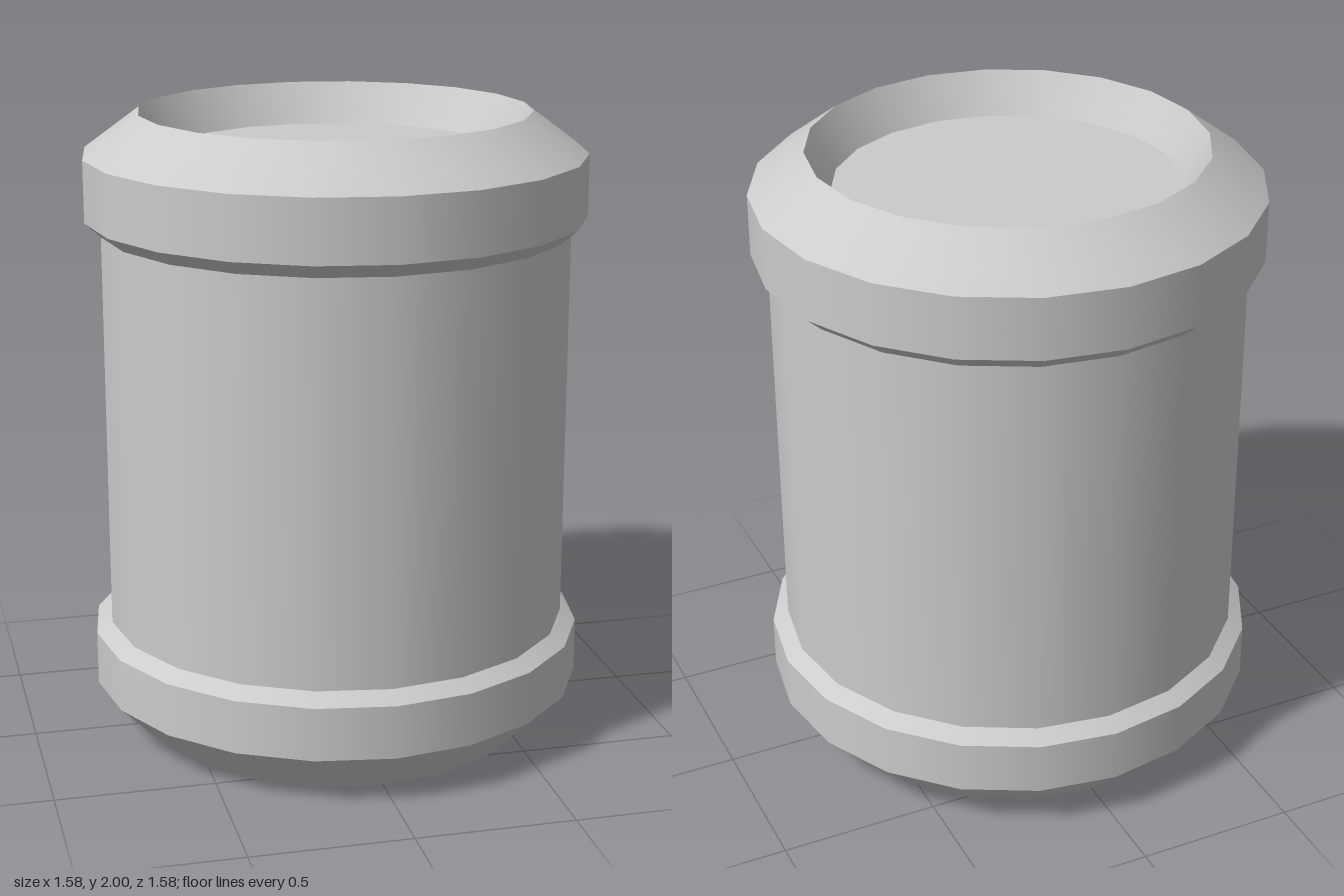
import * as THREE from 'three';
import { mergeGeometries } from 'three/addons/utils/BufferGeometryUtils.js';

const SIDES = 20;

// Turns a profile, keeping each band smooth around but sharp where bands meet
function turned(name, profile, material) {
  const bands = [];
  for (let i = 0; i < profile.length - 1; i++) {
    const pair = [profile[i], profile[i + 1]].map(([r, y]) => new THREE.Vector2(r, y));
    bands.push(new THREE.LatheGeometry(pair, SIDES));
  }
  const mesh = new THREE.Mesh(mergeGeometries(bands), material);
  mesh.name = name;
  return mesh;
}

export function createModel() {
  const group = new THREE.Group();
  group.name = 'canister';
  const grey = new THREE.MeshStandardMaterial({ color: 0xcccccc });

  // Flat underside, sloped foot and lower collar
  group.add(turned('base', [[0, 0], [0.63, 0], [0.79, 0.16], [0.79, 0.33], [0.74, 0.365]], grey));

  // Straight cylindrical wall
  group.add(turned('body', [[0.74, 0.365], [0.74, 1.63]], grey));

  // Upper collar with undercut and sloped shoulder
  group.add(turned('topCollar', [[0.74, 1.63], [0.79, 1.675], [0.79, 1.87], [0.615, 2]], grey));

  // Sunken lid inside the rim
  group.add(turned('recessedLid', [[0.615, 2], [0.54, 1.87], [0, 1.87]], grey));

  return group;
}
